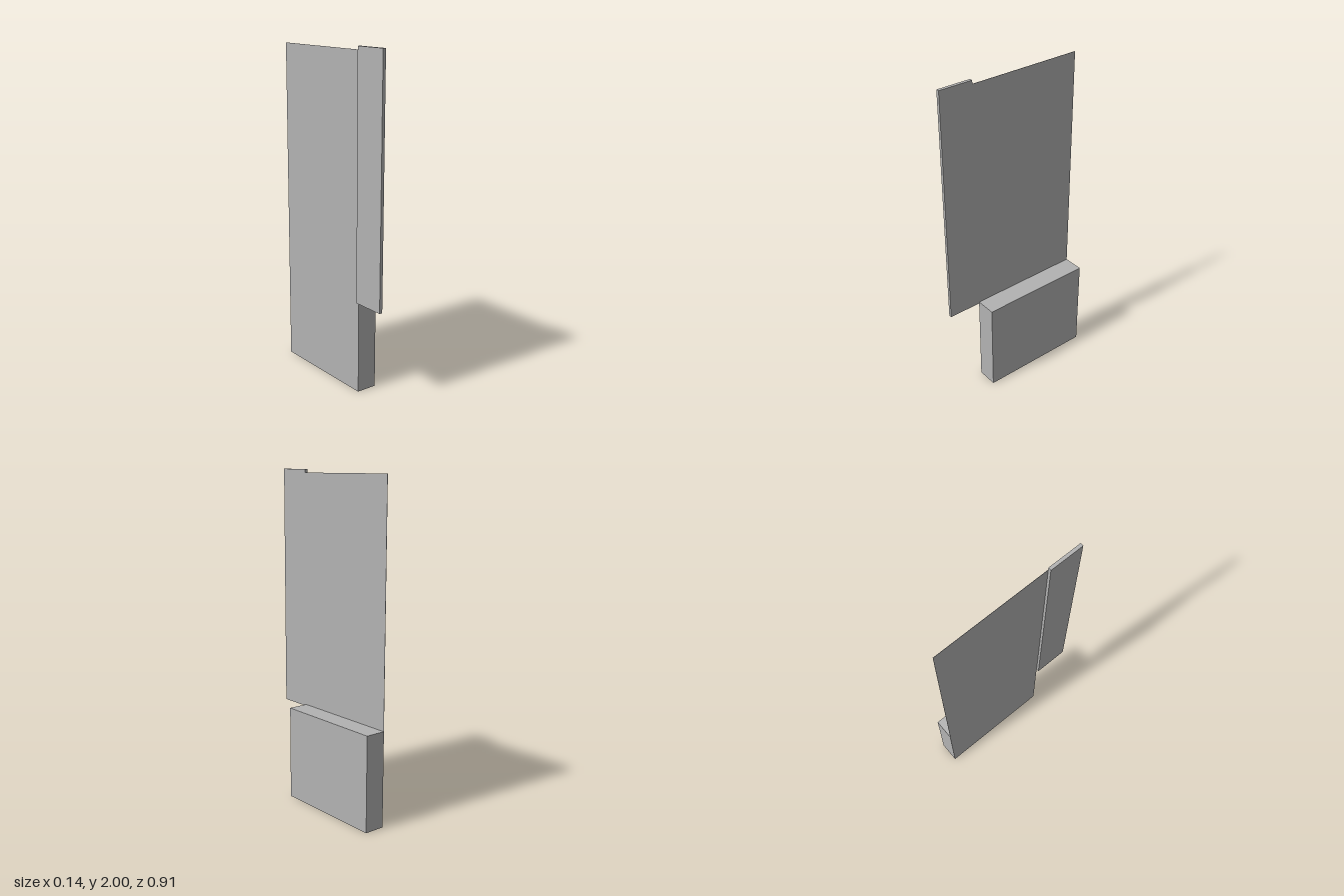
import * as THREE from 'three';

export function createModel() {
  const group = new THREE.Group();
  group.name = 'wallPanelWithBox';

  const grey = new THREE.MeshStandardMaterial({ color: 0xb2b2b2 });
  grey.name = 'plain grey';

  // Box spanning [min, max] on each axis
  const addBox = (name, [x0, x1], [y0, y1], [z0, z1]) => {
    const mesh = new THREE.Mesh(new THREE.BoxGeometry(x1 - x0, y1 - y0, z1 - z0), grey);
    mesh.position.set((x0 + x1) / 2, (y0 + y1) / 2, (z0 + z1) / 2);
    mesh.name = name;
    group.add(mesh);
  };

  // Low solid block standing on the ground
  addBox('baseBlock', [-0.053, 0.071], [0, 0.571], [-0.454, 0.248]);
  // Tall thin sheet behind the block
  addBox('backSheet', [-0.0545, -0.053], [0, 1.979], [-0.454, 0.248]);
  // Thicker upright strip at the front edge of the sheet
  addBox('frontStrip', [-0.072, -0.053], [0.561, 2], [0.248, 0.454]);

  return group;
}
